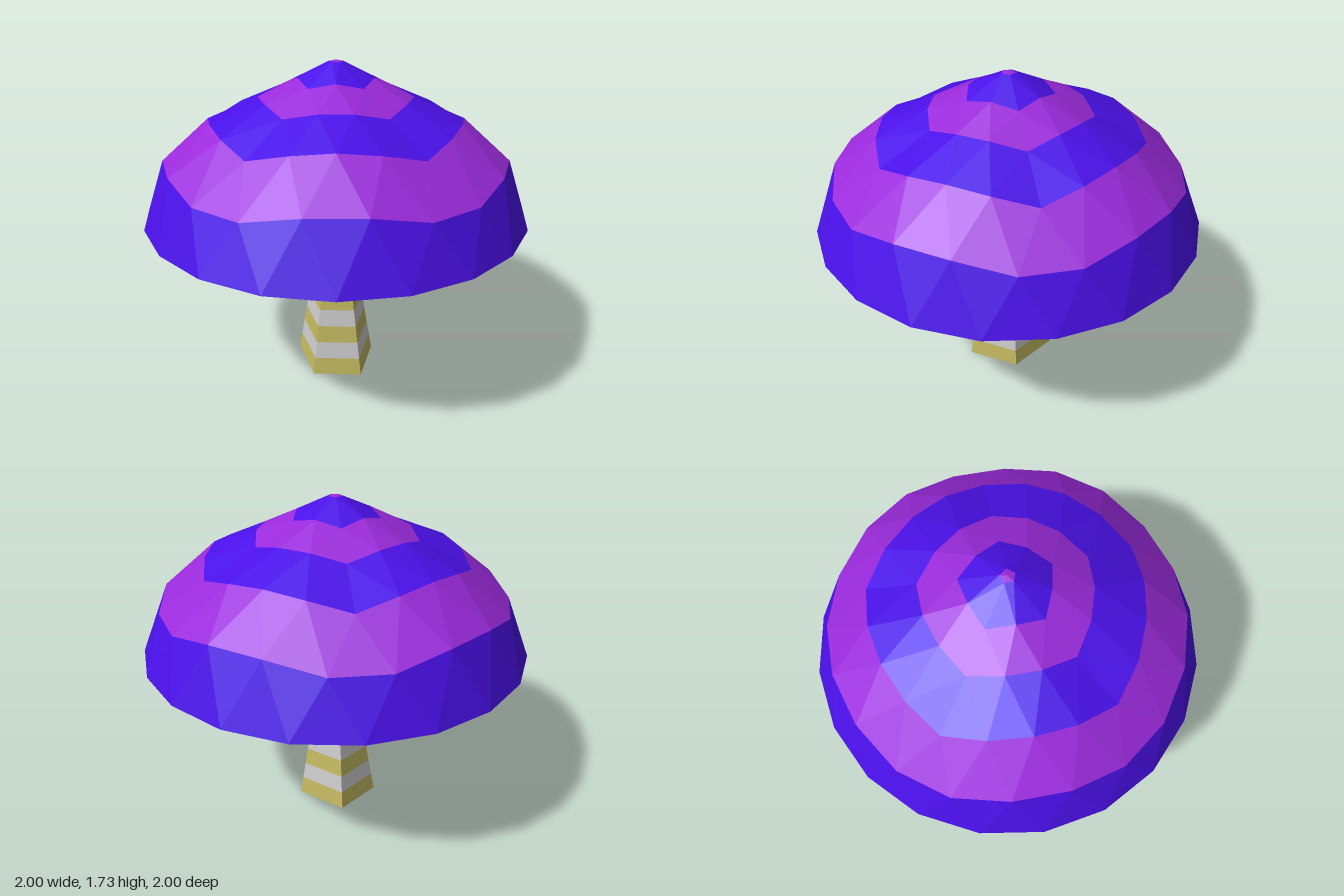
import * as THREE from 'three';

const flat = (color) => new THREE.MeshStandardMaterial({ color, flatShading: true });

// Cap rings, from the tip to the rim. Each has five ridges:
// lo = [radius, height] on a ridge, hi = the same between ridges.
const RINGS = [
  { n: 1, lo: [0, 1.725], hi: [0, 1.725] },
  { n: 5, lo: [0.036, 1.718], hi: [0.036, 1.718] },
  { n: 10, lo: [0.225, 1.62], hi: [0.195, 1.645] },
  { n: 15, lo: [0.42, 1.515], hi: [0.387, 1.555] },
  { n: 20, lo: [0.68, 1.385], hi: [0.64, 1.45] },
  { n: 20, lo: [0.905, 1.165], hi: [0.878, 1.257], shift: 0.5 },
  { n: 20, lo: [1, 0.942], hi: [1, 0.942], shift: 1 },
];

// Point number j on a cap ring
function ringPoint({ n, lo, hi, shift = 0 }, j) {
  const a = ((j + shift) / n) * Math.PI * 2;
  const t = Math.abs(Math.sin(a * 2.5)); // 0 on a ridge, 1 between ridges
  const r = lo[0] + (hi[0] - lo[0]) * t;
  const y = lo[1] + (hi[1] - lo[1]) * t;
  return [r * Math.cos(a), y, -r * Math.sin(a)];
}

// Band of triangles between cap rings k and k + 1
function capBand(k) {
  const A = RINGS[k], B = RINGS[k + 1];
  const pos = [];
  const a = (j) => ringPoint(A, j), b = (j) => ringPoint(B, j);
  const tri = (...pts) => pts.forEach((p) => pos.push(...p));
  if (A.n === B.n) {
    for (let j = 0; j < A.n; j++) {
      tri(a(j), b(j), a(j + 1));
      tri(b(j), b(j + 1), a(j + 1));
    }
  } else {
    // each fifth of the outer ring has one edge more than the inner ring
    for (let s = 0; s < 5; s++) {
      for (let j = 0; j <= k; j++) {
        const i = s * k + j, o = s * (k + 1) + j;
        tri(a(i), b(o), b(o + 1));
        if (j < k) tri(a(i), b(o + 1), a(i + 1));
      }
    }
  }
  const g = new THREE.BufferGeometry();
  g.setAttribute('position', new THREE.Float32BufferAttribute(pos, 3));
  g.computeVertexNormals();
  return g;
}

export function createModel() {
  const model = new THREE.Group();
  model.name = 'mushroom';
  const blue = flat(0x4a10e8), purple = flat(0x9a2adb);
  const yellow = flat(0xc3b860), grey = flat(0xcccccc);
  const add = (parent, name, geometry, material) => {
    const mesh = new THREE.Mesh(geometry, material);
    mesh.name = name;
    parent.add(mesh);
    return mesh;
  };

  // Cap: alternating purple and blue bands
  const cap = new THREE.Group();
  cap.name = 'cap';
  model.add(cap);
  for (let k = 0; k < RINGS.length - 1; k++) {
    add(cap, 'capBand' + (k + 1), capBand(k), k % 2 ? blue : purple);
  }

  // Hollow underside, from the centre out to the rim
  const under = [[0, 1.06], [0.43, 1.05], [0.844, 1.05], [1, 0.942]]
    .map(([r, y]) => new THREE.Vector2(r, y));
  add(cap, 'capUnderside', new THREE.LatheGeometry(under, 20), blue);

  // Stem: tapering five-sided column with ten stripes
  const stem = new THREE.Group();
  stem.name = 'stem';
  stem.scale.set(0.222, 1, 0.253);
  model.add(stem);
  const count = 10, height = 0.957, step = height / count;
  const radius = (y) => 1 - y / 1.31;
  for (let i = 0; i < count; i++) {
    const y = i * step;
    const g = new THREE.CylinderGeometry(radius(y + step), radius(y), step, 5, 1, i > 0 && i < count - 1);
    g.rotateY(Math.PI / 2); // one edge points to +x
    add(stem, 'stemStripe' + (i + 1), g, i % 2 ? grey : yellow).position.y = y + step / 2;
  }
  return model;
}
